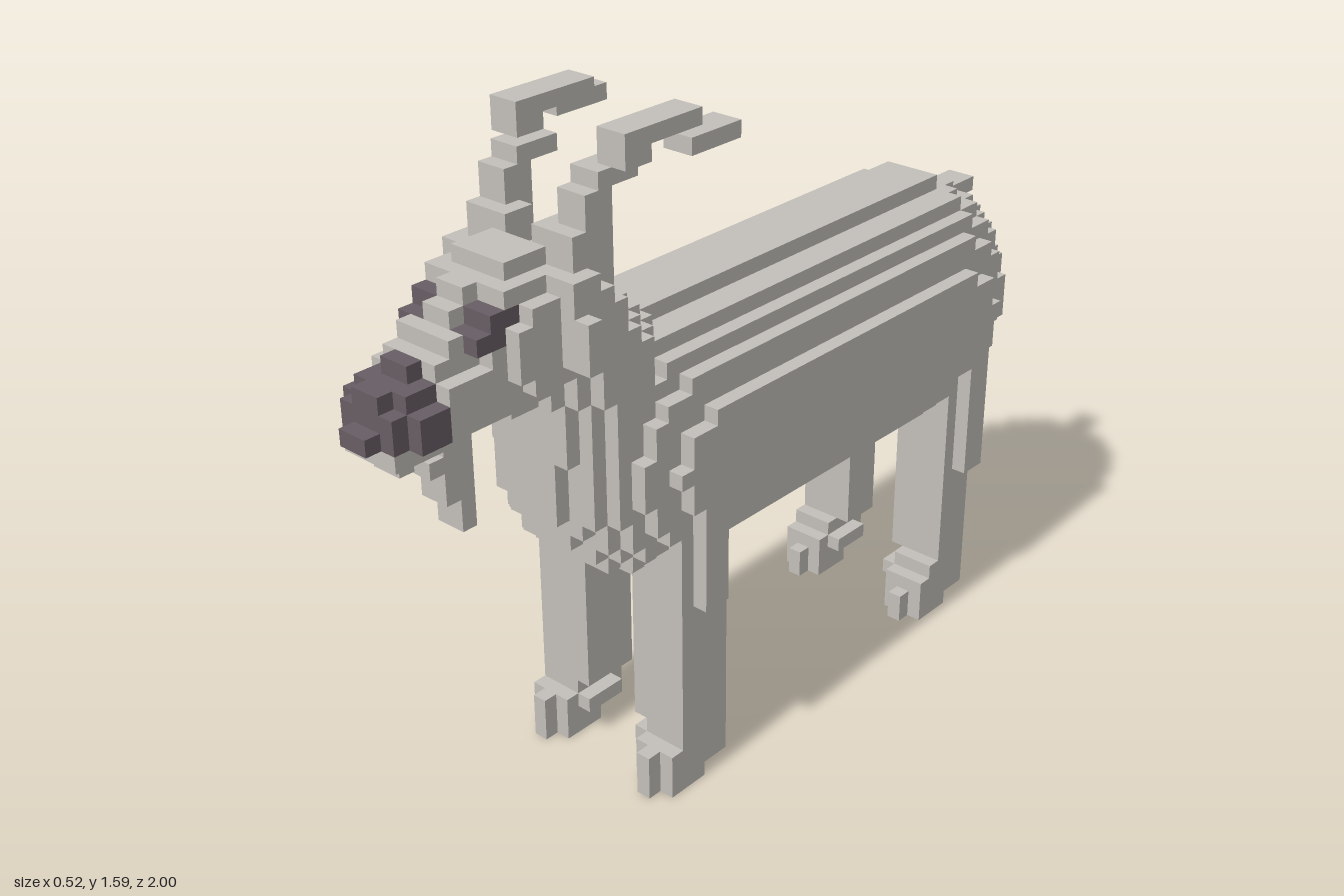
import * as THREE from 'three';

const U = 2 / 54; // edge of one cube

export function createModel() {
  const coat = new THREE.MeshStandardMaterial({ color: 0xc3bfb9 });
  coat.name = 'paleCoat';
  const dark = new THREE.MeshStandardMaterial({ color: 0x675e64 });
  dark.name = 'darkMuzzle';

  const cells = new Map(); // "x,y,z" -> part name
  const key = (x, y, z) => `${x},${y},${z}`;

  // Fill mirrored cubes: x0..x1 counts outward from the centre plane
  function box(part, x0, x1, y0, y1, z0, z1, test = () => true) {
    for (let x = x0; x < x1; x++)
      for (let y = y0; y < y1; y++)
        for (let z = z0; z < z1; z++)
          if (test(x + 0.5, y + 0.5, z + 0.5)) {
            cells.set(key(x, y, z), part);
            cells.set(key(-1 - x, y, z), part);
          }
  }

  // Body: elliptical section with rounded ends
  box('body', 0, 7, 14, 31, -27, 15, (x, y, z) => {
    const end = Math.max(0, z - 6.5, -18.5 - z);
    return (x / 7) ** 2 + ((y - 22.5) / 8.5) ** 2 + (end / 8.5) ** 2 < 1;
  });
  box('tail', 0, 1, 27, 28, -26, -22);
  box('tail', 0, 1, 28, 29, -27, -22);

  // Neck: stacked ellipses leaning forward
  for (let y = 24; y < 36; y++) {
    const back = Math.max(8, y - 22), front = y < 28 ? 15 : 16;
    const mid = (back + front) / 2, half = (front - back) / 2;
    box('neck', 0, 5, y, y + 1, back, front,
      (x, _, z) => (x / 4.8) ** 2 + (Math.abs(z - mid) / half) ** 3 < 1);
  }

  // Head, muzzle bridge and jaw
  box('head', 0, 5, 28, 37, 12, 21, (x, y, z) =>
    (x / 4.4) ** 2 + ((y - 32.5) / 4.5) ** 2 + ((z - 16.5) / 4.5) ** 2 < 1);
  box('muzzle', 0, 3, 29, 32, 17, 23);
  box('muzzle', 0, 2, 32, 33, 17, 23);
  box('muzzle', 0, 2, 33, 34, 17, 22);
  box('muzzle', 0, 1, 34, 35, 17, 21);
  box('jaw', 0, 2, 28, 29, 21, 26);
  box('jaw', 0, 1, 27, 28, 24, 25);

  // Beard
  box('beard', 0, 1, 24, 29, 20, 22);
  box('beard', 0, 1, 22, 24, 20, 21);
  box('beard', 0, 1, 26, 27, 22, 23);

  // Nose
  box('nose', 0, 3, 29, 31, 23, 25);
  box('nose', 0, 2, 31, 32, 23, 25);
  box('nose', 0, 1, 32, 33, 23, 24);
  box('nose', 0, 2, 29, 31, 25, 26);
  box('nose', 0, 1, 31, 32, 25, 26);
  box('nose', 0, 1, 29, 30, 26, 27);

  // Eyes
  box('eyes', 2, 3, 34, 35, 18, 20);
  box('eyes', 1, 2, 34, 35, 19, 20);
  box('eyes', 1, 3, 33, 34, 19, 21);

  // Ears
  box('ears', 3, 5, 31, 36, 15, 16);
  box('ears', 5, 6, 31, 34, 15, 16);

  // Horns sweeping up, out and back
  box('horns', 1, 4, 36, 38, 13, 15);
  box('horns', 2, 4, 35, 37, 12, 14);
  box('horns', 2, 4, 38, 40, 12, 14);
  box('horns', 2, 4, 37, 39, 12, 13);
  box('horns', 2, 4, 40, 41, 10, 13);
  box('horns', 3, 5, 41, 42, 10, 12);
  box('horns', 3, 5, 42, 43, 6, 12);
  box('horns', 4, 6, 41, 42, 4, 8);

  // Front legs, shoulder plates and feet
  box('frontLegs', 2, 6, 4, 19, 5, 9);
  box('frontLegs', 6, 7, 13, 20, 6, 8);
  box('frontFeet', 3, 6, 1, 4, 5, 9);
  box('frontFeet', 3, 6, 0, 1, 7, 10);
  box('frontFeet', 3, 6, 1, 3, 9, 10);
  box('frontFeet', 4, 5, 0, 3, 10, 11);
  box('frontFeet', 2, 3, 2, 3, 6, 9);

  // Hind legs, thigh plates, hocks and feet
  box('hindLegs', 2, 6, 4, 19, -21, -18);
  box('hindLegs', 3, 5, 5, 18, -22, -21);
  box('hindLegs', 3, 5, 9, 13, -23, -22);
  box('hindLegs', 6, 7, 11, 20, -21, -19);
  box('hindFeet', 3, 6, 1, 4, -21, -17);
  box('hindFeet', 3, 6, 0, 1, -19, -16);
  box('hindFeet', 3, 6, 1, 3, -17, -16);
  box('hindFeet', 4, 5, 0, 2, -16, -15);
  box('hindFeet', 2, 3, 2, 3, -20, -17);

  // Skin each part with only its outer cube faces
  const skins = {};
  for (const [k, part] of cells) {
    const c = k.split(',').map(Number);
    const skin = (skins[part] ??= { pos: [], nor: [] });
    for (let a = 0; a < 3; a++)
      for (const s of [-1, 1]) {
        const n = [0, 0, 0];
        n[a] = s;
        if (cells.has(key(c[0] + n[0], c[1] + n[1], c[2] + n[2]))) continue;
        const b = (a + 1) % 3, d = (a + 2) % 3;
        const quad = [[0, 0], [1, 0], [1, 1], [0, 1]].map(([i, j]) => {
          const p = [...c];
          if (s > 0) p[a] += 1;
          p[b] += i;
          p[d] += j;
          return p.map(v => v * U);
        });
        if (s < 0) quad.reverse();
        for (const i of [0, 1, 2, 0, 2, 3]) {
          skin.pos.push(...quad[i]);
          skin.nor.push(...n);
        }
      }
  }

  const group = new THREE.Group();
  group.name = 'goat';
  for (const [part, { pos, nor }] of Object.entries(skins)) {
    const geo = new THREE.BufferGeometry();
    geo.setAttribute('position', new THREE.Float32BufferAttribute(pos, 3));
    geo.setAttribute('normal', new THREE.Float32BufferAttribute(nor, 3));
    const mesh = new THREE.Mesh(geo, part === 'nose' || part === 'eyes' ? dark : coat);
    mesh.name = part;
    group.add(mesh);
  }
  return group;
}
